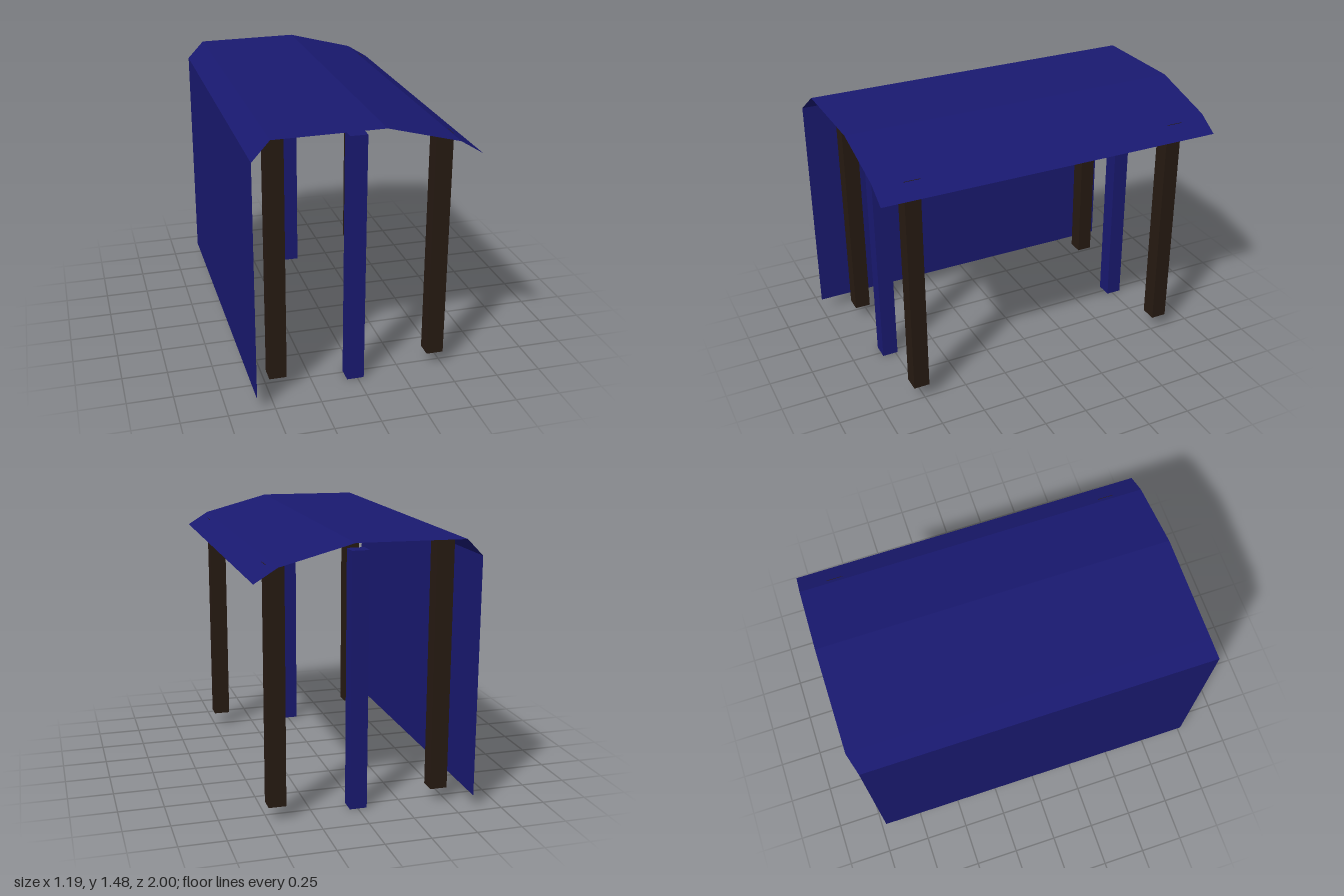
import * as THREE from 'three';

const blue = new THREE.MeshStandardMaterial({ color: 0x191970 });
const blueSheet = new THREE.MeshStandardMaterial({ color: 0x191970, side: THREE.DoubleSide });
const brown = new THREE.MeshStandardMaterial({ color: 0x261a12 });

// Folded sheet: one flat panel between each pair of profile points [x, y, zFront, zBack]
function foldedSheet(profile) {
  const positions = [];
  for (let i = 0; i < profile.length - 1; i++) {
    const [x0, y0, f0, b0] = profile[i];
    const [x1, y1, f1, b1] = profile[i + 1];
    positions.push(x0, y0, b0, x0, y0, f0, x1, y1, f1);
    positions.push(x0, y0, b0, x1, y1, f1, x1, y1, b1);
  }
  const geometry = new THREE.BufferGeometry();
  geometry.setAttribute('position', new THREE.Float32BufferAttribute(positions, 3));
  geometry.computeVertexNormals();
  return geometry;
}

// Square post standing between two heights
function post(name, material, x, z, bottom, top, width = 0.095, depth = 0.09) {
  const mesh = new THREE.Mesh(new THREE.BoxGeometry(width, top - bottom, depth), material);
  mesh.position.set(x, (top + bottom) / 2, z);
  mesh.name = name;
  return mesh;
}

export function createModel() {
  const group = new THREE.Group();
  group.name = 'shelter';

  // Side wall running up into the bent roof
  const wall = new THREE.Mesh(foldedSheet([
    [-0.597, 0.075, 1, -0.97],
    [-0.597, 1.38, 1, -0.97],
  ]), blueSheet);
  wall.name = 'sideWall';

  const roof = new THREE.Mesh(foldedSheet([
    [-0.597, 1.38, 1, -0.97],
    [-0.497, 1.474, 0.97, -1],
    [0.087, 1.481, 0.97, -1],
    [0.475, 1.38, 0.97, -1],
    [0.597, 1.305, 0.97, -1],
  ]), blueSheet);
  roof.name = 'roof';
  group.add(wall, roof);

  // Corner posts
  group.add(
    post('frontWallPost', brown, -0.449, 0.795, 0.08, 1.473),
    post('backWallPost', brown, -0.449, -0.795, 0.08, 1.473),
    post('frontOpenPost', brown, 0.453, 0.766, 0.08, 1.366),
    post('backOpenPost', brown, 0.453, -0.8, 0.08, 1.366),
  );

  // Taller middle posts
  group.add(
    post('frontMiddlePost', blue, -0.012, 0.782, 0, 1.407),
    post('backMiddlePost', blue, -0.003, -0.76, 0, 1.407),
  );
  return group;
}
